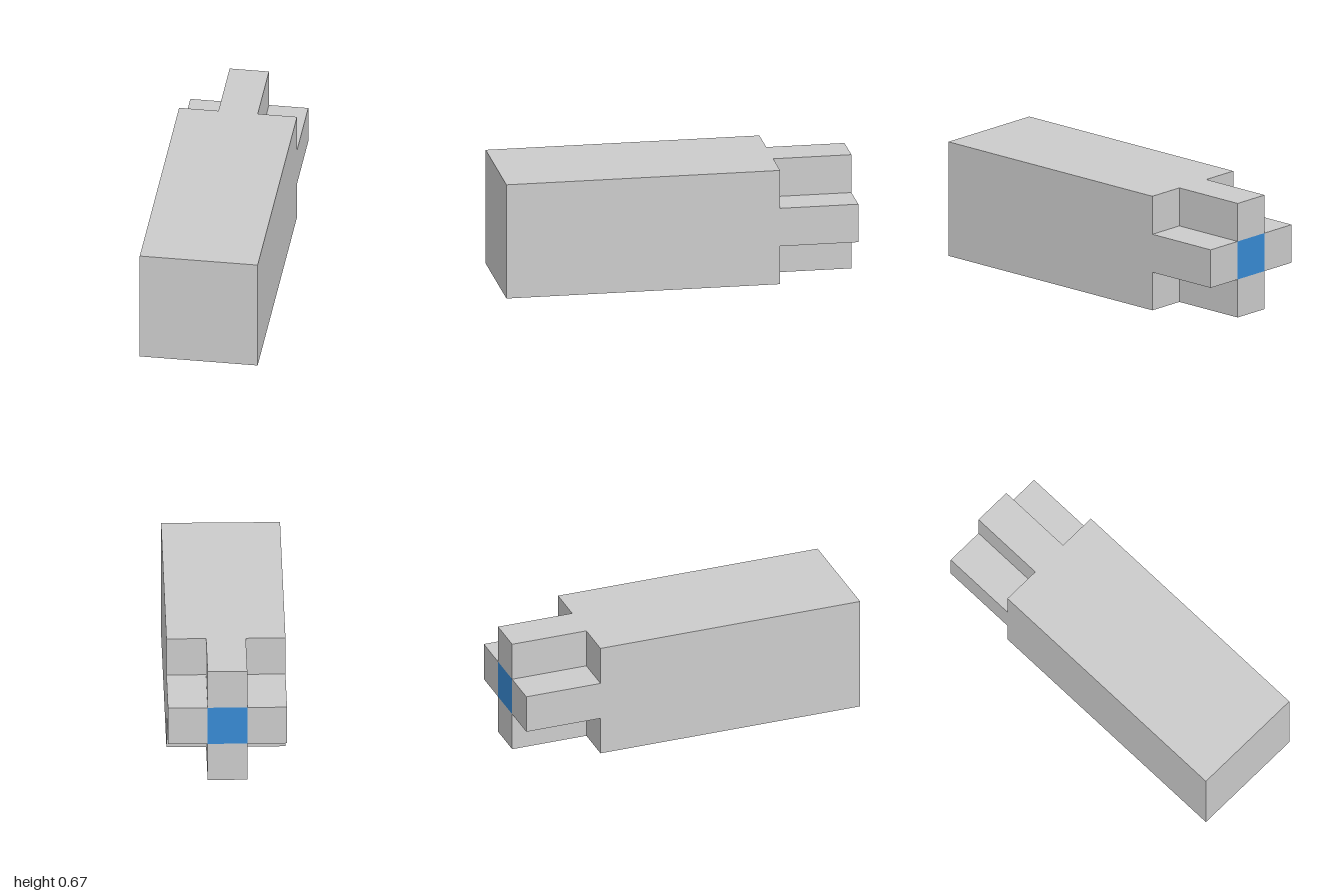
import * as THREE from 'three';

const U = 2 / 9; // grid unit: the model is 3 x 3 x 9 units

export function createModel() {
  const group = new THREE.Group();
  const grey = new THREE.MeshStandardMaterial({ color: 0xcccccc });
  const blue = new THREE.MeshStandardMaterial({ color: 0x388ad4 });

  // Box sized and placed in grid units
  function box(name, size, pos, material = grey) {
    const mesh = new THREE.Mesh(new THREE.BoxGeometry(...size.map((s) => s * U)), material);
    mesh.position.set(...pos.map((p) => p * U));
    mesh.name = name;
    group.add(mesh);
  }

  // Square main block, flush with the front
  box('body', [3, 3, 7], [0, 1.5, 1]);

  // Cross-shaped plug at the back: four arms around a coloured core
  box('core', [1, 1, 2], [0, 1.5, -3.5], blue);
  box('leftArm', [1, 1, 2], [1, 1.5, -3.5]);
  box('rightArm', [1, 1, 2], [-1, 1.5, -3.5]);
  box('upperArm', [1, 1, 2], [0, 2.5, -3.5]);
  box('lowerArm', [1, 1, 2], [0, 0.5, -3.5]);

  return group;
}
